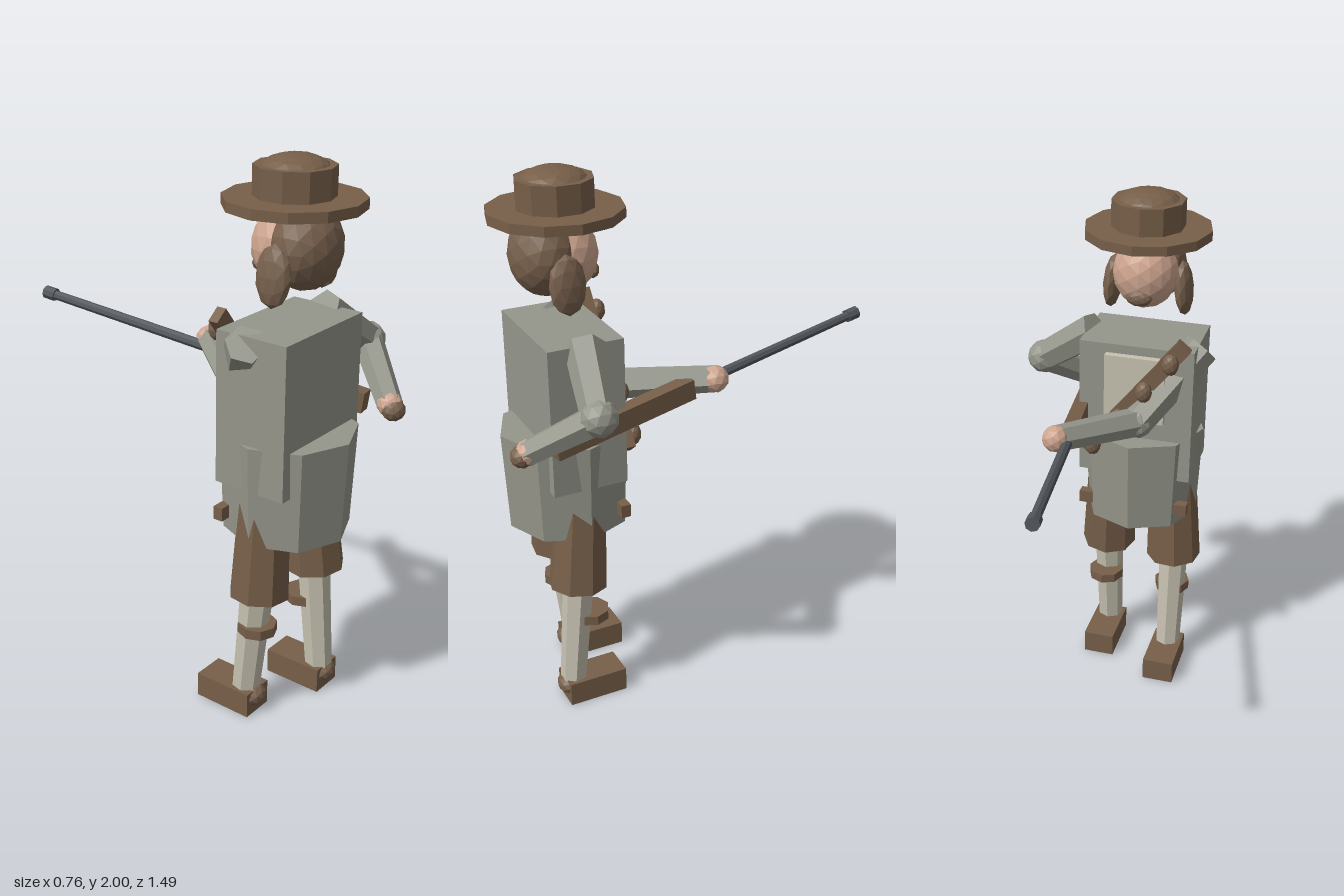
import * as THREE from 'three';

const mat = (name, color) => {
  const m = new THREE.MeshStandardMaterial({ color, flatShading: true });
  m.name = name;
  return m;
};

export function createModel() {
  const root = new THREE.Group();
  root.name = 'hunter';
  const coat = mat('coat grey', 0x95968b);
  const brown = mat('leather brown', 0x775f49);
  const hairMat = mat('hair brown', 0x78614d);
  const skin = mat('skin', 0xcda48e);
  const cloth = mat('stocking cream', 0xc6c1b0);
  const steel = mat('gun steel', 0x51565b);
  const CX = -0.105, CZ = 0.445; // body axis

  const add = (name, geo, material, x, y, z) => {
    const m = new THREE.Mesh(geo, material);
    m.name = name;
    m.position.set(x, y, z);
    root.add(m);
    return m;
  };
  const ball = (name, material, p, r, detail = 1) => {
    const m = add(name, new THREE.IcosahedronGeometry(1, detail), material, ...p);
    m.scale.set(...(Array.isArray(r) ? r : [r, r, r]));
    return m;
  };
  const box = (name, material, p, s) => add(name, new THREE.BoxGeometry(...s), material, ...p);
  // tapered cylinder running from point a to point b
  const limb = (name, material, a, b, ra, rb, sides = 6) => {
    const va = new THREE.Vector3(...a), vb = new THREE.Vector3(...b);
    const d = vb.clone().sub(va), mid = va.clone().add(vb).multiplyScalar(0.5);
    const m = add(name, new THREE.CylinderGeometry(rb, ra, d.length(), sides), material, mid.x, mid.y, mid.z);
    m.quaternion.setFromUnitVectors(new THREE.Vector3(0, 1, 0), d.normalize());
    return m;
  };

  // Hat
  add('hatBrim', new THREE.CylinderGeometry(0.235, 0.235, 0.035, 12), brown, CX, 1.848, CZ);
  add('hatCrown', new THREE.CylinderGeometry(0.135, 0.135, 0.1, 10), brown, CX, 1.915, CZ);
  ball('hatTop', brown, [CX, 1.945, CZ], [0.118, 0.055, 0.118], 2);

  // Head, facing -z
  ball('head', skin, [CX, 1.7, 0.425], [0.122, 0.135, 0.12], 2);
  ball('hair', hairMat, [CX, 1.71, 0.495], [0.135, 0.145, 0.118], 2);
  ball('nose', hairMat, [CX, 1.632, 0.328], [0.05, 0.032, 0.027]);
  for (const s of [-1, 1]) {
    const lock = ball('sideHair', hairMat, [CX + s * 0.135, 1.635, 0.465], [0.034, 0.105, 0.066]);
    lock.rotation.z = s * 0.08;
  }

  // Coat
  box('torso', coat, [CX, 1.18, 0.443], [0.437, 0.54, 0.275]);
  add('coatSkirt', new THREE.CylinderGeometry(0.238, 0.222, 0.365, 8), coat, CX, 0.8925, 0.45);
  box('shirtFront', cloth, [CX, 1.285, 0.293], [0.23, 0.26, 0.03]);
  for (const s of [-1, 1]) box('pouch', brown, [CX + s * 0.19, 0.785, 0.312], [0.05, 0.048, 0.036]);

  // Cartridge strap across the chest
  const strap = box('chestStrap', brown, [CX, 1.25, 0.284], [0.06, 0.6, 0.036]);
  strap.rotation.z = 0.67;
  for (let i = 0; i < 4; i++) {
    ball('strapPouch', hairMat, [CX - 0.142 + i * 0.097, 1.42 - i * 0.123, 0.25], [0.032, 0.042, 0.03]);
  }

  // Legs: the +x leg trails, the -x leg steps forward
  for (const [s, step] of [[1, 0], [-1, 0.11]]) {
    const x = CX + s * 0.142;
    limb('breeches', brown, [CX + s * 0.125, 0.9, CZ], [x, 0.49, 0.48 - step * 0.36], 0.09, 0.108, 8);
    limb('stocking', cloth, [x, 0.51, 0.475 - step * 0.4], [x, 0.06, 0.515 - step * 1.17], 0.06, 0.05, 7);
    add('garter', new THREE.CylinderGeometry(0.07, 0.07, 0.036, 8), brown, x, 0.352, 0.435);
    box('shoe', brown, [x, 0.046, 0.4375 - step], [0.123, 0.092, 0.225]);
    ball('heel', hairMat, [x, 0.062, 0.53 - step], [0.055, 0.04, 0.048]);
  }

  // +x arm: bent elbow, hand at the butt of the gun
  const elbowA = [0.312, 1.28, 0.487], handA = [0.158, 1.13, 0.68];
  limb('upperArm', coat, [0.09, 1.44, 0.44], elbowA, 0.07, 0.06);
  ball('elbow', coat, elbowA, 0.066);
  limb('forearm', coat, elbowA, handA, 0.056, 0.046);
  ball('hand', skin, handA, 0.046);

  // -x arm: reaches across the chest to support the gun
  const elbowB = [-0.13, 1.175, 0.245], handB = [0.093, 1.222, -0.052];
  limb('upperArm', coat, [-0.325, 1.425, 0.425], elbowB, 0.068, 0.06);
  ball('elbow', coat, elbowB, 0.062);
  limb('forearm', coat, elbowB, handB, 0.056, 0.048);
  ball('hand', skin, handB, 0.05);

  // Gun laid along one axis
  const axis = (z, lift = 0) => [0.06 + 0.156 * z, 1.2 - 0.138 * z + lift, z];
  const stock = box('gunStock', brown, axis(0.31), [0.055, 0.075, 0.57]);
  stock.lookAt(new THREE.Vector3(...axis(1)));
  limb('gunBarrel', steel, axis(0.1), axis(-0.71), 0.02, 0.018, 8);
  limb('gunMuzzle', steel, axis(-0.695), axis(-0.742), 0.025, 0.025, 8);
  ball('gunButt', hairMat, [0.15, 1.117, 0.7], [0.044, 0.04, 0.042]);

  return root;
}
